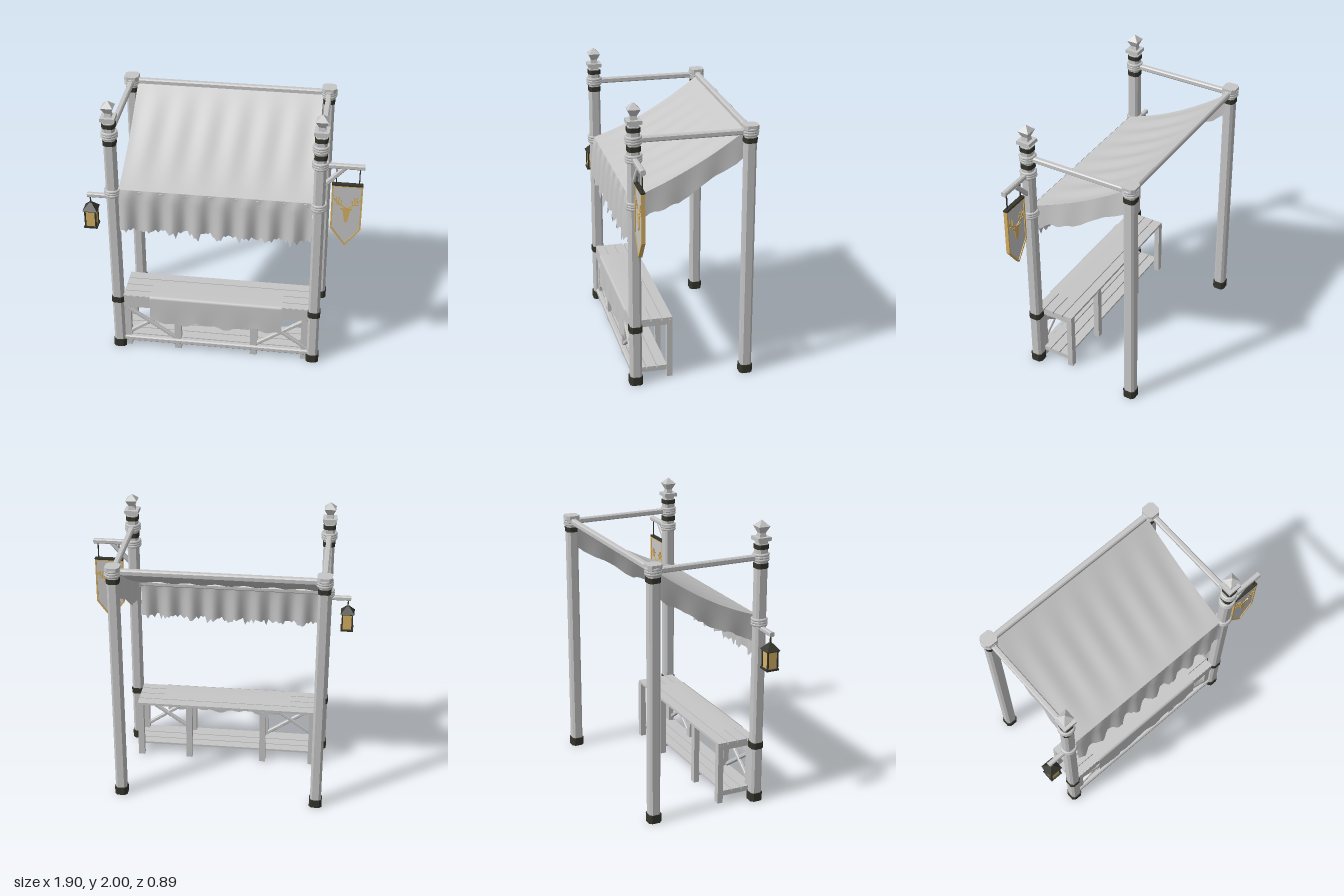
import * as THREE from 'three';

const mat = (name, color, extra = {}) => {
  const m = new THREE.MeshStandardMaterial({ color, ...extra });
  m.name = name;
  return m;
};

export function createModel() {
  const root = new THREE.Group();
  root.name = 'marketStall';
  const grey = mat('paleGrey', 0xc6c6c6, { side: THREE.DoubleSide });
  const black = mat('ironBlack', 0x35352d);
  const gold = mat('gold', 0xd6b062);

  let seed = 7;
  const rnd = () => (seed = (seed * 16807) % 2147483647) / 2147483647;

  const add = (name, geo, material, x = 0, y = 0, z = 0) => {
    const m = new THREE.Mesh(geo, material);
    m.name = name;
    m.position.set(x, y, z);
    root.add(m);
    return m;
  };
  const box = (name, w, h, d, x, y, z, material = grey) =>
    add(name, new THREE.BoxGeometry(w, h, d), material, x, y, z);
  const shapeOf = pts => new THREE.Shape(pts.map(p => new THREE.Vector2(...p)));

  // bar with chamfered edges running from a to b
  const bar = (name, a, b, w, material = grey, c = w * 0.2) => {
    const h = w / 2, k = h - c;
    const s = shapeOf([[h, -k], [h, k], [k, h], [-k, h], [-h, k], [-h, -k], [-k, -h], [k, -h]]);
    const from = new THREE.Vector3(...a), to = new THREE.Vector3(...b);
    const geo = new THREE.ExtrudeGeometry(s, { depth: from.distanceTo(to), bevelEnabled: false });
    const m = add(name, geo, material, ...a);
    m.lookAt(to);
    return m;
  };
  const upright = (name, x, z, y0, y1, w, material) => bar(name, [x, y0, z], [x, y1, z], w, material);

  // square tapered block
  const taper = (name, wTop, wBottom, y0, y1, x, z, material = grey) => {
    const g = new THREE.CylinderGeometry(wTop * Math.SQRT1_2, wBottom * Math.SQRT1_2, y1 - y0, 4)
      .rotateY(Math.PI / 4).toNonIndexed();
    g.computeVertexNormals();
    return add(name, g, material, x, (y0 + y1) / 2, z);
  };

  // cloth sheet from a rule (u, v) -> [x, y, z]
  const sheet = (name, nu, nv, f) => {
    const pos = [], idx = [];
    for (let i = 0; i <= nu; i++) for (let j = 0; j <= nv; j++) pos.push(...f(i / nu, j / nv, i));
    for (let i = 0; i < nu; i++) for (let j = 0; j < nv; j++) {
      const a = i * (nv + 1) + j, b = a + nv + 1;
      idx.push(a, a + 1, b, b, a + 1, b + 1);
    }
    const g = new THREE.BufferGeometry();
    g.setAttribute('position', new THREE.Float32BufferAttribute(pos, 3));
    g.setIndex(idx);
    g.computeVertexNormals();
    return add(name, g, grey);
  };

  // ---- posts ----
  const XL = -0.745, XR = 0.655, ZF = 0.385, ZB = -0.39;
  const rope = (x, y, z) => {
    for (const dy of [-0.017, 0, 0.017])
      add('ropeBinding', new THREE.TorusGeometry(0.047, 0.011, 6, 16).rotateX(Math.PI / 2), grey, x, y + dy, z);
  };
  for (const x of [XL, XR]) {
    for (const z of [ZF, ZB]) {
      upright('post', x, z, 0, z === ZF ? 1.845 : 1.785, 0.078);
      upright('postFoot', x, z, 0, 0.06, 0.09, black);
      upright('upperBand', x, z, 1.68, 1.715, 0.086, black);
      rope(x, 1.755, z);
    }
    upright('backPostCap', x, ZB, 1.775, 1.8, 0.1);
    upright('middleBand', x, ZF, 0.395, 0.44, 0.088, black);
    upright('topBand', x, ZF, 1.81, 1.84, 0.087, black);
    rope(x, 1.31, ZF);
    // finial
    taper('finialNeck', 0.062, 0.062, 1.84, 1.867, x, ZF);
    taper('finialPlate', 0.098, 0.098, 1.865, 1.89, x, ZF);
    taper('finialStem', 0.04, 0.05, 1.89, 1.92, x, ZF);
    taper('finialLower', 0.082, 0.04, 1.915, 1.96, x, ZF);
    taper('finialTip', 0.004, 0.082, 1.96, 2.0, x, ZF);
    bar('sideBeam', [x, 1.753, ZB], [x, 1.753, ZF], 0.038);
  }
  rope(XR, 1.632, ZF);
  bar('backBeam', [XL, 1.757, ZB], [XR, 1.757, ZB], 0.042);
  bar('frontBeam', [XL, 1.312, ZF], [XR, 1.312, ZF], 0.036);

  // ---- canopy ----
  const CX0 = -0.7, CX1 = 0.615;
  const cx = u => CX0 + (CX1 - CX0) * u;
  const roofY = (u, v) => 1.75 - 0.415 * v - 0.16 * v * (1 - v)
    - 0.006 * Math.sin(v * Math.PI) * Math.sin(u * Math.PI * 13 + v * 1.5);
  const roofZ = v => -0.375 + 0.775 * v;
  sheet('canopy', 64, 16, (u, v) => [cx(u), roofY(u, v), roofZ(v)]);

  // ragged valance in front
  const N = 84;
  const hem = Array.from({ length: N + 1 }, (_, i) =>
    1.045 - (i % 2) * 0.028 * rnd() - (rnd() > 0.88 ? 0.035 : 0.012 * rnd()));
  sheet('valance', N, 8, (u, v, i) => [
    cx(u), 1.335 + (hem[i] - 1.335) * v,
    0.402 + 0.02 * Math.sqrt(v) * (1 + Math.sin(u * Math.PI * 16))]);

  // hanging side flaps
  for (const [x, out] of [[CX0, -1], [CX1, 1]]) {
    const drop = Array.from({ length: 25 }, () => 0.155 + 0.02 * rnd());
    sheet('sideFlap', 24, 4, (u, v, i) => [
      x + out * 0.007 * v * (1 + Math.sin(u * 20)),
      roofY(out < 0 ? 0 : 1, u) - v * (drop[i] + 0.012 * Math.sin(u * 14) + 0.015 * u),
      roofZ(u)]);
  }

  // ---- counter ----
  const TX = -0.045, TW = 1.32;
  [[0.118, 0.188], [0.194, 0.264], [0.27, 0.34], [0.346, 0.405]].forEach(([a, b]) =>
    box('counterPlank', TW, 0.018, b - a, TX, 0.441, (a + b) / 2));
  box('counterApron', TW, 0.095, 0.02, TX, 0.4, 0.397);
  const legX = [-0.685, -0.32, 0.23, 0.595];
  for (const x of legX) {
    box('backLeg', 0.045, 0.432, 0.04, x, 0.216, 0.137);
    box('frontLeg', 0.05, 0.432, 0.04, x, 0.216, 0.375);
    box('crossBar', 0.04, 0.035, 0.25, x, 0.415, 0.26);
    box('shelfBearer', 0.03, 0.025, 0.25, x, 0.062, 0.26);
  }
  [0.19, 0.265, 0.34].forEach(z => box('shelfPlank', TW, 0.014, 0.068, TX, 0.082, z));
  bar('bottomRail', [XL, 0.065, 0.39], [XR, 0.065, 0.39], 0.04);
  for (const [a, b] of [[-0.7, -0.34], [0.25, 0.61]]) {
    bar('crossBrace', [a, 0.345, 0.385], [b, 0.095, 0.385], 0.026);
    bar('crossBrace', [a, 0.095, 0.38], [b, 0.345, 0.38], 0.026);
  }

  // cloth over the counter
  const fold = [[0.2, 0.453], [0.3, 0.456], [0.395, 0.456], [0.41, 0.45], [0.414, 0.435], [0.416, 0.34], [0.42, 0]];
  sheet('counterCloth', 48, fold.length - 1, (u, v) => {
    const j = Math.round(v * (fold.length - 1)), x = -0.515 + 0.945 * u;
    const last = j === fold.length - 1;
    const y = last ? 0.238 + 0.011 * Math.sin(u * 17 + 1) + 0.009 * Math.sin(u * 41) : fold[j][1];
    return [x, y, fold[j][0] + (last ? 0.004 * Math.sin(u * 24) : 0)];
  });

  // ---- lantern on the right post ----
  const LX = -0.902;
  bar('lanternArm', [-0.922, 1.27, ZF], [XL, 1.27, ZF], 0.032);
  box('lanternHook', 0.008, 0.06, 0.008, LX, 1.23, ZF, black);
  taper('lanternRoof', 0.018, 0.1, 1.16, 1.208, LX, ZF, black);
  box('lanternRim', 0.088, 0.01, 0.088, LX, 1.157, ZF, black);
  box('lanternGlass', 0.07, 0.125, 0.07, LX, 1.093, ZF, gold);
  box('lanternBase', 0.092, 0.012, 0.092, LX, 1.028, ZF, black);
  for (const sx of [-1, 1]) for (const sz of [-1, 1])
    box('lanternFrame', 0.01, 0.13, 0.01, LX + sx * 0.036, 1.095, ZF + sz * 0.036, black);

  // ---- banner on the left post ----
  const BX = 0.838;
  bar('bannerArm', [XR, 1.63, ZF], [0.945, 1.63, ZF], 0.034);
  bar('bannerArmBrace', [0.68, 1.475, ZF], [0.815, 1.62, ZF], 0.03);
  for (const x of [0.762, 0.914]) box('bannerCord', 0.007, 0.13, 0.007, x, 1.555, ZF, black);
  box('bannerRod', 0.206, 0.012, 0.03, BX, 1.492, ZF, black);
  const pennant = t => [[-0.102 + t, 1.488 - t], [-0.102 + t, 1.152 + t * 0.4],
    [0, 1.014 + t * 1.5], [0.102 - t, 1.152 + t * 0.4], [0.102 - t, 1.488 - t]];
  const plate = (name, shape, depth, material) =>
    add(name, new THREE.ExtrudeGeometry(shape, { depth, bevelEnabled: false }), material, BX, 0, ZF - depth / 2);
  plate('bannerCloth', shapeOf(pennant(0.006)), 0.014, grey);
  const border = shapeOf(pennant(0));
  border.holes.push(shapeOf(pennant(0.011)));
  plate('bannerBorder', border, 0.026, gold);

  // painted stag head, showing on both faces
  const half = [[0.012, 1.322], [0.02, 1.312], [0.045, 1.318], [0.036, 1.3], [0.022, 1.292],
    [0.021, 1.265], [0.011, 1.215], [0.006, 1.203]];
  plate('stagHead', shapeOf([...half, ...half.map(([x, y]) => [-x, y]).reverse()]), 0.022, gold);
  const antler = [[0.012, 1.318, 0.04, 1.338], [0.04, 1.338, 0.068, 1.36], [0.068, 1.36, 0.07, 1.402],
    [0.04, 1.338, 0.034, 1.375], [0.056, 1.35, 0.05, 1.395], [0.066, 1.358, 0.088, 1.385], [0.045, 1.341, 0.078, 1.342]];
  for (const s of [-1, 1]) for (const [x0, y0, x1, y1] of antler) {
    const m = box('stagAntler', Math.hypot(x1 - x0, y1 - y0) + 0.006, 0.008, 0.022,
      BX + s * (x0 + x1) / 2, (y0 + y1) / 2, ZF, gold);
    m.rotation.z = Math.atan2(y1 - y0, s * (x1 - x0));
  }
  return root;
}
